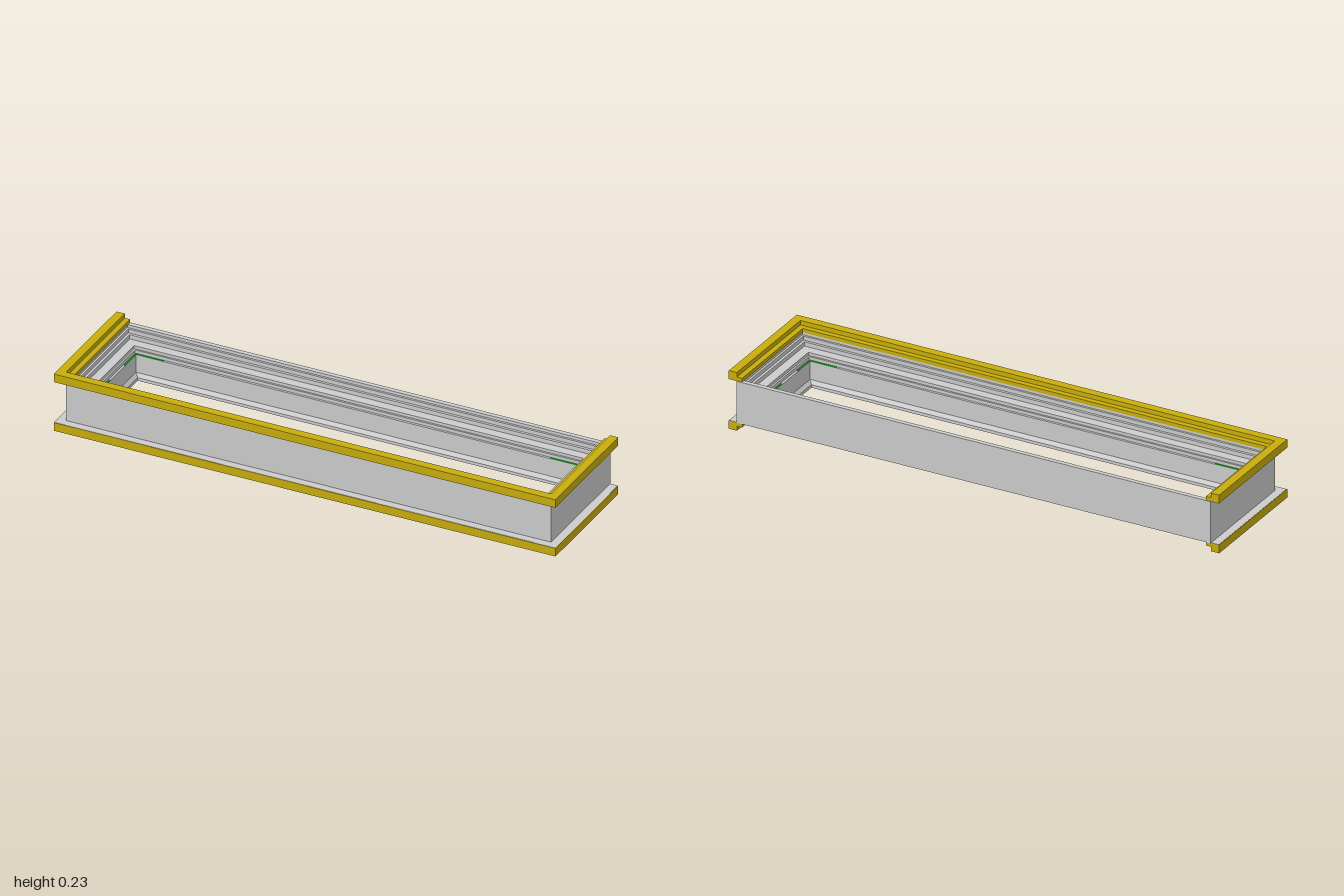
import * as THREE from 'three';

const grey = new THREE.MeshStandardMaterial({ color: 0xcccccc, flatShading: true });
const yellow = new THREE.MeshStandardMaterial({ color: 0xc8ad0c, flatShading: true });
const green = new THREE.MeshStandardMaterial({ color: 0x22bb33, flatShading: true });

const HEIGHT = 0.233;

// Sweeps a closed profile of [inset, y] along mitred corners given as functions of inset.
function sweep(corners, profile, closed) {
  const pos = [];
  const point = (i, j) => {
    const [d, y] = profile[j % profile.length];
    const [x, z] = corners[i % corners.length](d);
    return [x, y, z];
  };
  const sides = closed ? corners.length : corners.length - 1;
  for (let i = 0; i < sides; i++) {
    for (let j = 0; j < profile.length; j++) {
      const a = point(i, j), b = point(i, j + 1), c = point(i + 1, j + 1), d = point(i + 1, j);
      pos.push(...a, ...d, ...c, ...a, ...c, ...b);
    }
  }
  // mitre-free end caps on an open path
  if (!closed) {
    const flat = profile.map(([d, y]) => new THREE.Vector2(d, y));
    for (const [p, q, r] of THREE.ShapeUtils.triangulateShape(flat, [])) {
      const ccw = THREE.ShapeUtils.area([flat[p], flat[q], flat[r]]) > 0;
      const tri = ccw ? [p, q, r] : [p, r, q];
      for (const k of [...tri].reverse()) pos.push(...point(0, k));
      for (const k of tri) pos.push(...point(corners.length - 1, k));
    }
  }
  const geo = new THREE.BufferGeometry();
  geo.setAttribute('position', new THREE.Float32BufferAttribute(pos, 3));
  geo.computeVertexNormals();
  return geo;
}

// Closed rectangle for the body, three-sided path for the trim
const bodyPath = [
  d => [-0.967 + d, -0.25 + d],
  d => [-0.967 + d, 0.22 - d],
  d => [0.967 - d, 0.22 - d],
  d => [0.967 - d, -0.25 + d],
];
const trimPath = [
  () => [-1, -0.247],
  d => [-1 + d, 0.252 - d],
  d => [1 - d, 0.252 - d],
  () => [1, -0.247],
];
trimPath[0] = d => [-1 + d, -0.247];
trimPath[3] = d => [1 - d, -0.247];

const flip = profile => profile.map(([d, y]) => [d, HEIGHT - y]).reverse();

export function createModel() {
  const model = new THREE.Group();
  const add = (name, geometry, material) => {
    const mesh = new THREE.Mesh(geometry, material);
    mesh.name = name;
    model.add(mesh);
    return mesh;
  };

  // Frame with stepped rebates descending to the opening
  add('frame', sweep(bodyPath, [
    [0, 0.033], [0, 0.2], [0.018, 0.2], [0.018, 0.188], [0.026, 0.188], [0.026, 0.172],
    [0.036, 0.172], [0.036, 0.155], [0.072, 0.155], [0.072, 0.143], [0.079, 0.143],
    [0.079, 0.13], [0.088, 0.13], [0.088, 0.058], [0.1, 0.045], [0.1, 0.033],
  ], true), grey);

  // Stepped trim rails round the front and both ends
  const rail = [[0, 0.2], [0, HEIGHT], [0.033, HEIGHT], [0.033, 0.215], [0.054, 0.215], [0.054, 0.2]];
  add('topTrim', sweep(trimPath, rail, false), yellow);
  add('bottomTrim', sweep(trimPath, flip(rail), false), yellow);

  // Grey backing on the trim faces that look toward the frame
  const backing = [[0.002, 0.199], [0.002, 0.201], [0.034, 0.201], [0.034, 0.199]];
  add('topTrimBacking', sweep(trimPath, backing, false), grey);
  add('bottomTrimBacking', sweep(trimPath, flip(backing), false), grey);

  // Small green corner seals on the inner ledge
  for (const sx of [-1, 1]) {
    for (const [z, inward] of [[-0.164, 1], [0.134, -1]]) {
      const along = add('cornerSealLong', new THREE.BoxGeometry(0.11, 0.004, 0.005), green);
      along.position.set(sx * 0.826, 0.131, z);
      const across = add('cornerSealShort', new THREE.BoxGeometry(0.005, 0.004, 0.09), green);
      across.position.set(sx * 0.881, 0.131, z + inward * 0.045);
    }
  }
  return model;
}
